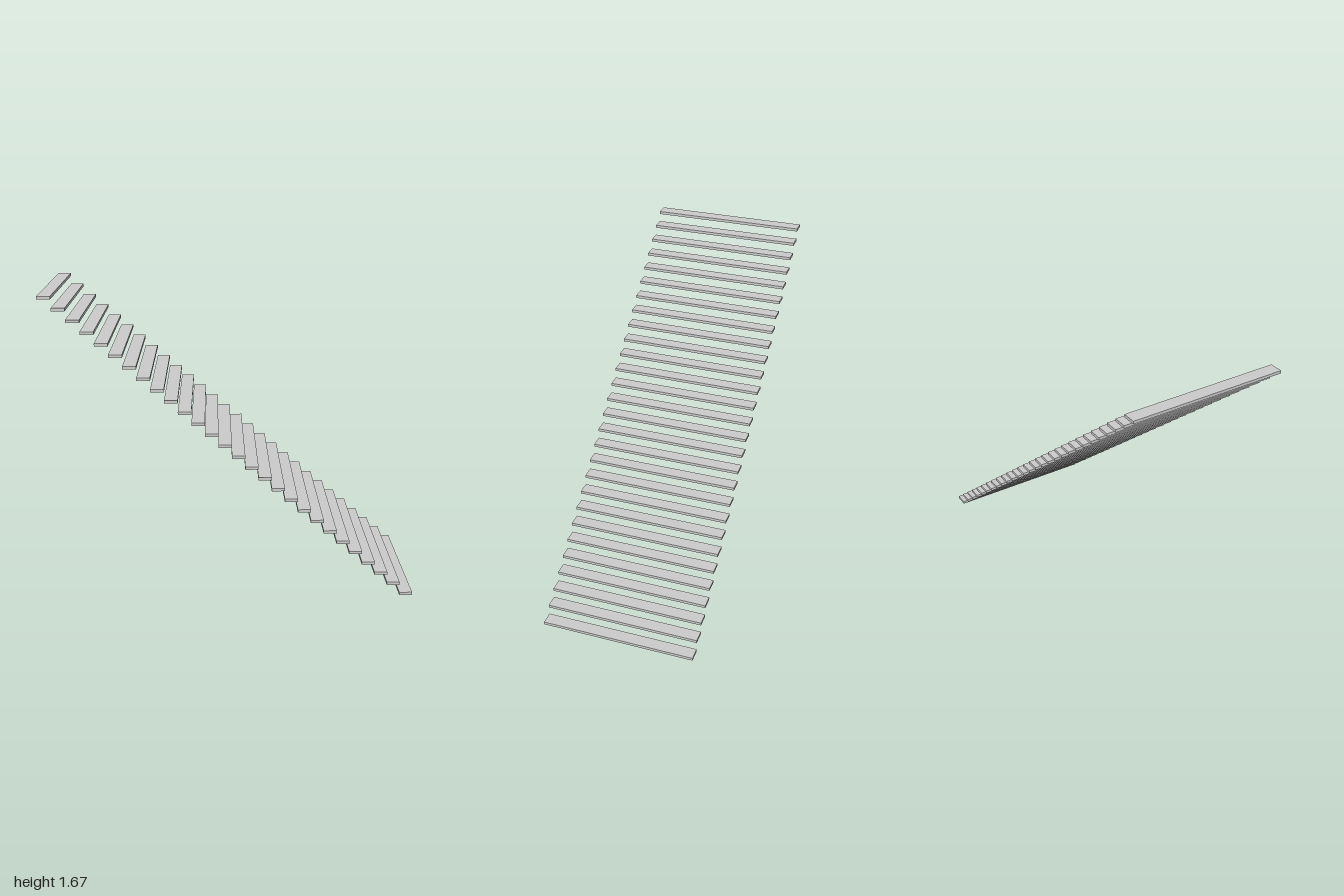
import * as THREE from 'three';

export function createModel() {
  const group = new THREE.Group();
  group.name = 'staircase';
  const count = 28, run = 2 / count, rise = 0.0613, thickness = 0.016, width = 0.855;
  const material = new THREE.MeshStandardMaterial({ color: 0xcccccc });
  const geometry = new THREE.BoxGeometry(run, thickness, width);

  // Floating treads, climbing from +x to -x
  for (let i = 0; i < count; i++) {
    const tread = new THREE.Mesh(geometry, material);
    tread.name = `tread${i + 1}`;
    tread.position.set(1 - run * (i + 0.5), thickness / 2 + rise * i, 0);
    group.add(tread);
  }
  return group;
}
